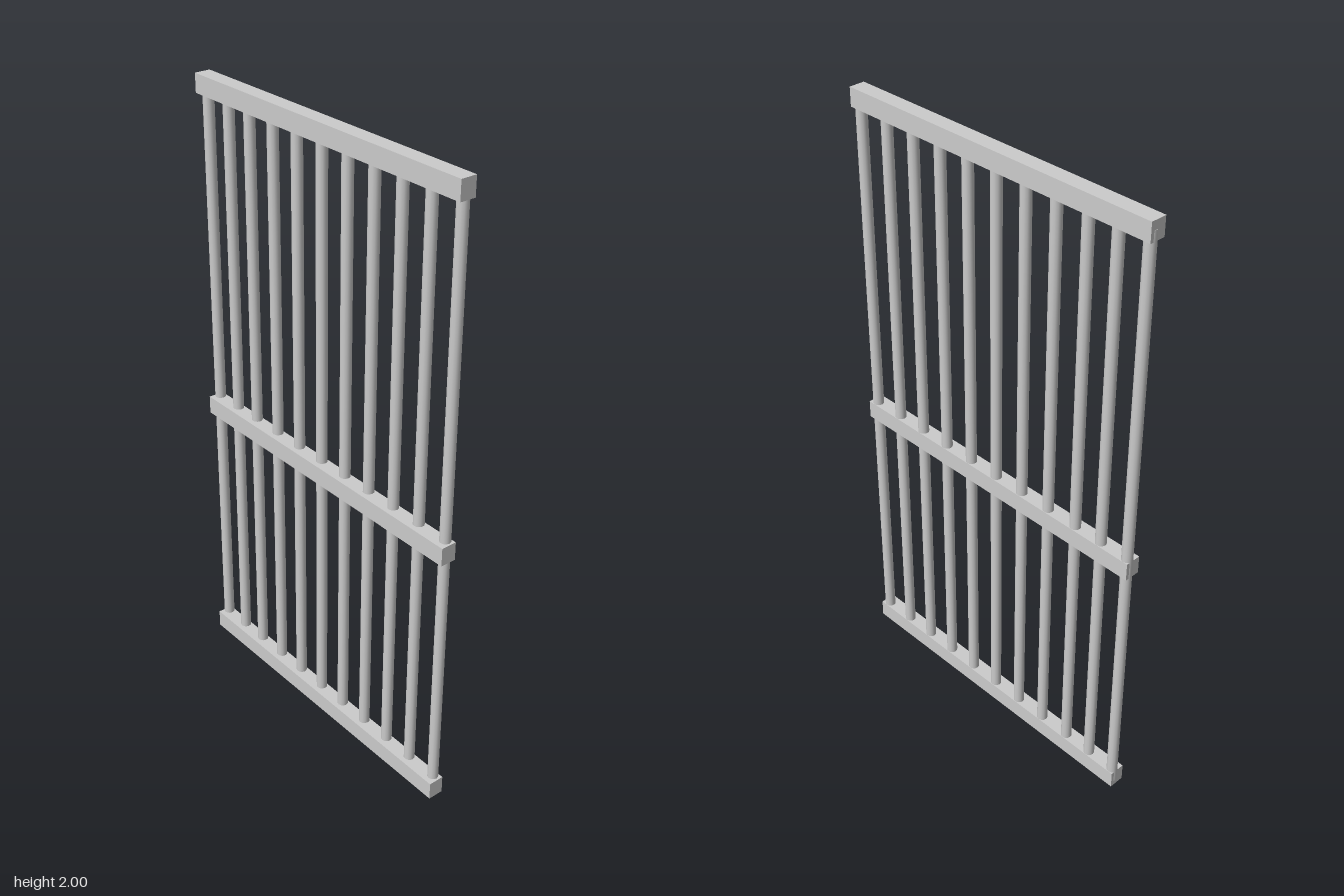
import * as THREE from 'three';

export function createModel() {
  const group = new THREE.Group();
  const material = new THREE.MeshStandardMaterial({ color: 0xcccccc });

  // Three horizontal rails running along z
  const railGeometry = new THREE.BoxGeometry(0.051, 0.059, 1.11);
  const rails = { bottomRail: 0.0295, middleRail: 0.905, topRail: 1.9705 };
  for (const [name, y] of Object.entries(rails)) {
    const rail = new THREE.Mesh(railGeometry, material);
    rail.name = name;
    rail.position.set(-0.0005, y, 0.001);
    group.add(rail);
  }

  // Eleven upright round bars, the last two set slightly closer together
  const barGeometry = new THREE.CylinderGeometry(0.0175, 0.0175, 1.955, 12);
  for (let i = 0; i < 11; i++) {
    const z = i < 9 ? 0.532 - i * 0.1088 : -0.3384 - (i - 8) * 0.1;
    const bar = new THREE.Mesh(barGeometry, material);
    bar.name = `bar${i + 1}`;
    bar.position.set(0.007, 0.995, z);
    group.add(bar);
  }

  return group;
}
